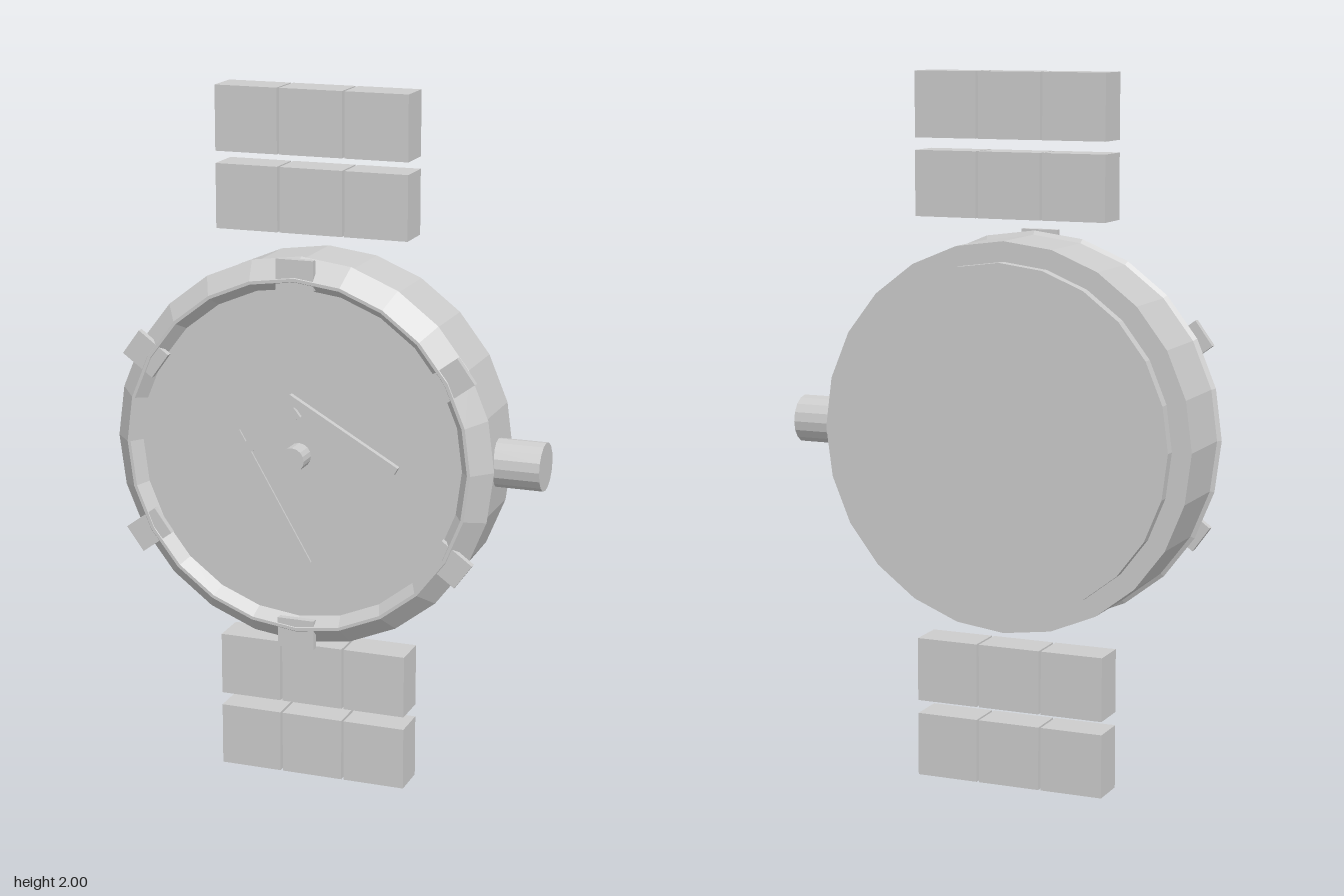
import * as THREE from 'three';

const CX = -0.058, CY = 1.0; // centre of the watch face

export function createModel() {
  const model = new THREE.Group();
  model.name = 'wristwatch';
  const steel = new THREE.MeshStandardMaterial({ color: 0xcccccc, flatShading: true });
  steel.name = 'plain grey steel';

  const add = (name, geometry, parent = model) => {
    const mesh = new THREE.Mesh(geometry, steel);
    mesh.name = name;
    parent.add(mesh);
    return mesh;
  };
  // Solid disc facing +z, from z0 to z1
  const disc = (r, z0, z1, sides = 24) =>
    new THREE.CylinderGeometry(r, r, z1 - z0, sides).rotateX(Math.PI / 2).translate(0, 0, (z0 + z1) / 2);

  // Watch head
  const head = new THREE.Group();
  head.name = 'watchHead';
  head.position.set(CX, CY, 0);
  model.add(head);
  add('case', disc(0.546, -0.132, 0.08), head);
  add('caseBack', disc(0.49, -0.164, -0.132), head);
  add('dial', disc(0.475, 0.075, 0.106), head);
  add('centrePin', disc(0.035, 0.1, 0.163, 16), head);

  // Chamfered bezel with a sloping inner wall
  const profile = [[0.54, 0.074], [0.557, 0.086], [0.506, 0.141], [0.497, 0.141], [0.468, 0.1]];
  add('bezel', new THREE.LatheGeometry(profile.map(p => new THREE.Vector2(...p)), 24).rotateX(Math.PI / 2), head);

  // Six bezel grips: the upper and lower lie along the ring, the side ones slant across it
  for (let i = 0; i < 6; i++) {
    const angle = Math.PI / 2 + i * Math.PI / 3;
    const slant = Math.sign(Math.round(Math.sin(2 * angle) * 10)) * 0.63;
    const grip = add('bezelGrip', new THREE.BoxGeometry(0.108, 0.085, 0.019), head);
    grip.position.set(0.515 * Math.cos(angle), 0.515 * Math.sin(angle), 0.1295);
    grip.rotation.z = slant;
  }

  // Hands, laid between two points on the dial
  const hand = (name, a, b, width, z) => {
    const dx = b[0] - a[0], dy = b[1] - a[1];
    const mesh = add(name, new THREE.BoxGeometry(Math.hypot(dx, dy), width, 0.02));
    mesh.position.set((a[0] + b[0]) / 2, (a[1] + b[1]) / 2, z);
    mesh.rotation.z = Math.atan2(dy, dx);
  };
  hand('minuteHand', [-0.085, 1.165], [0.23, 0.985], 0.024, 0.113);
  hand('hourHand', [-0.232, 0.992], [-0.06, 1.125], 0.032, 0.108);
  hand('secondHand', [-0.238, 1.055], [-0.026, 0.69], 0.009, 0.102);

  // Crown on the side
  const crown = add('crown', new THREE.CylinderGeometry(0.068, 0.068, 0.14, 16).rotateZ(Math.PI / 2));
  crown.position.set(0.544, 1.0, -0.02);

  // Bracelet: two rows of three links above and below
  for (const y of [1.909, 1.693, 0.312, 0.092]) {
    for (const x of [-0.248, -0.059, 0.13]) {
      add('braceletLink', new THREE.BoxGeometry(0.182, 0.182, 0.108)).position.set(x, y, -0.044);
    }
  }
  return model;
}
